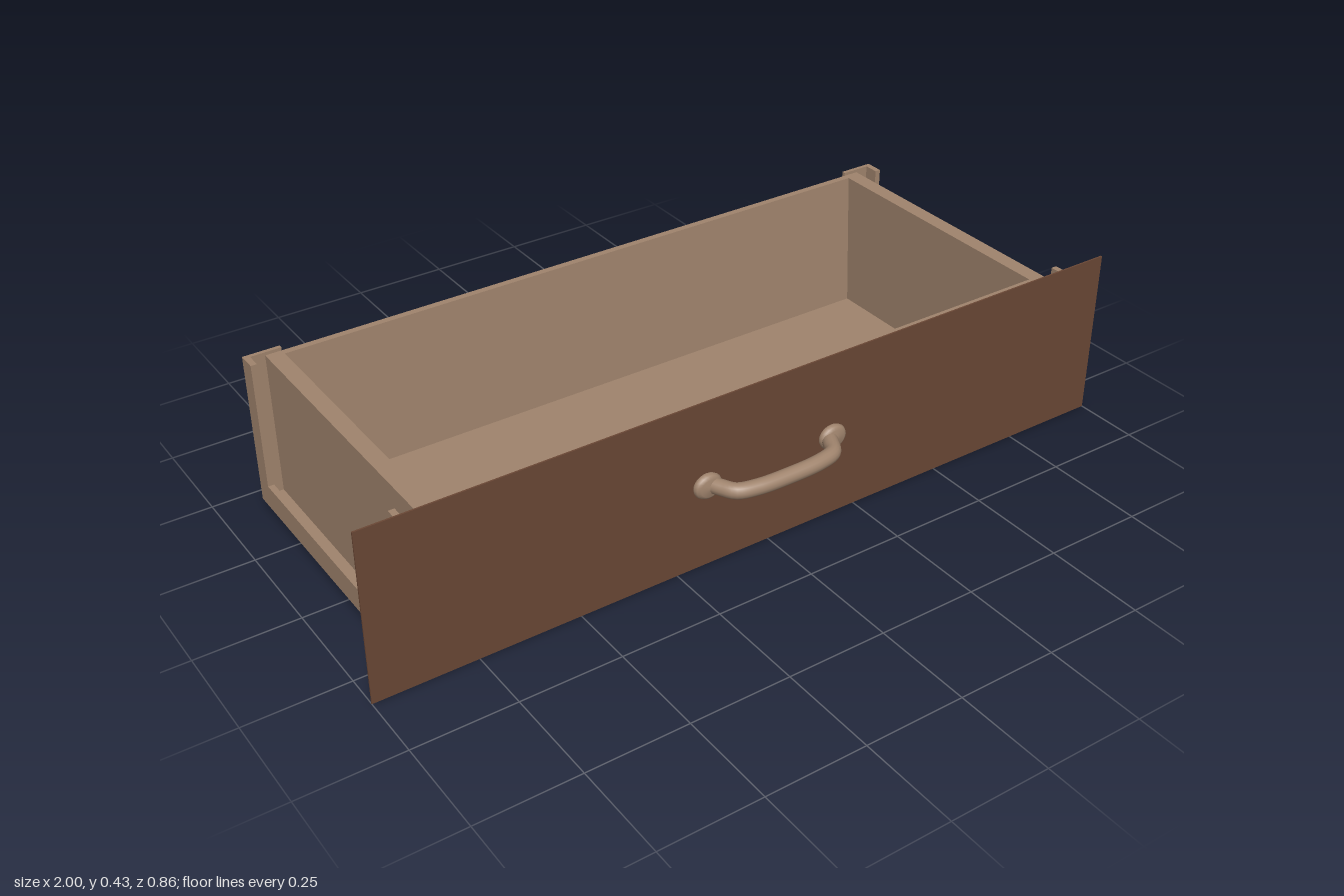
import * as THREE from 'three';

export function createModel() {
  const group = new THREE.Group();
  const wood = new THREE.MeshStandardMaterial({ color: 0xa0846d });
  wood.name = 'light wood';
  const facadeWood = new THREE.MeshStandardMaterial({ color: 0x6a4735 });
  facadeWood.name = 'dark wood';

  const add = (name, geometry, material = wood) => {
    const mesh = new THREE.Mesh(geometry, material);
    mesh.name = name;
    group.add(mesh);
    return mesh;
  };
  // Box given by its two extreme corners
  const box = (name, x0, x1, y0, y1, z0, z1, material) => {
    const mesh = add(name, new THREE.BoxGeometry(x1 - x0, y1 - y0, z1 - z0), material);
    mesh.position.set((x0 + x1) / 2, (y0 + y1) / 2, (z0 + z1) / 2);
    return mesh;
  };

  // Front facade
  box('facade', -1, 1, 0, 0.43, 0.333, 0.337, facadeWood);

  // Outer frame: U-shaped plates with a tall post at each end
  const framePlate = (name, a0, a1, post, depth) => {
    const bottom = 0.025, rail = 0.086, top = 0.41;
    const s = new THREE.Shape([
      [a0, bottom], [a1, bottom], [a1, top], [a1 - post, top],
      [a1 - post, rail], [a0 + post, rail], [a0 + post, top], [a0, top],
    ].map(([x, y]) => new THREE.Vector2(x, y)));
    return add(name, new THREE.ExtrudeGeometry(s, { depth, bevelEnabled: false }));
  };
  framePlate('backFrame', -0.9, 0.9, 0.09, 0.01).position.z = -0.43;
  framePlate('frontFrame', -0.9, 0.9, 0.09, 0.013).position.z = 0.32;
  for (const side of [-1, 1]) {
    const plate = framePlate('sideFrame', -0.333, 0.43, 0.048, 0.015);
    plate.rotation.y = Math.PI / 2; // local x becomes -z
    plate.position.x = side > 0 ? 0.885 : -0.9;
  }

  // Bottom frame around the recessed base panel
  const rim = new THREE.Shape([[-0.9, -0.333], [0.9, -0.333], [0.9, 0.43], [-0.9, 0.43]]
    .map(([x, y]) => new THREE.Vector2(x, y)));
  rim.holes.push(new THREE.Path([[-0.815, -0.285], [-0.815, 0.385], [0.815, 0.385], [0.815, -0.285]]
    .map(([x, y]) => new THREE.Vector2(x, y))));
  const bottomFrame = add('bottomFrame', new THREE.ExtrudeGeometry(rim, { depth: 0.012, bevelEnabled: false }));
  bottomFrame.rotation.x = -Math.PI / 2;
  bottomFrame.position.y = 0.025;
  box('floor', -0.85, 0.85, 0.033, 0.045, -0.42, 0.298);

  // Inner tray: upright side walls, and end walls thickening toward the floor
  for (const s of [-1, 1]) {
    box('sideWall', s * 0.83 - 0.02, s * 0.83 + 0.02, 0.033, 0.402, -0.42, 0.298);
  }
  const endWall = (name, outer, innerTop, innerBottom) => {
    const wall = box(name, -0.815, 0.815, 0.033, 0.402, Math.min(outer, innerTop), Math.max(outer, innerTop));
    const p = wall.geometry.attributes.position;
    const inward = Math.sign(innerTop - outer);
    for (let i = 0; i < p.count; i++) {
      if (p.getY(i) < 0 && p.getZ(i) * inward > 0) p.setZ(i, p.getZ(i) + innerBottom - innerTop);
    }
    wall.geometry.computeVertexNormals();
  };
  endWall('backWall', -0.42, -0.403, -0.382);
  endWall('frontWall', 0.298, 0.287, 0.265);

  // Handle: bowed grip on two rounded mounts
  const y = 0.217;
  const path = new THREE.CatmullRomCurve3([
    [-0.165, 0.337], [-0.152, 0.365], [-0.133, 0.394], [-0.085, 0.408], [0, 0.412],
    [0.085, 0.408], [0.133, 0.394], [0.152, 0.365], [0.165, 0.337],
  ].map(([x, z]) => new THREE.Vector3(x, y, z)));
  add('handleGrip', new THREE.TubeGeometry(path, 48, 0.019, 16));
  const mountProfile = [[0.03, 0], [0.032, 0.006], [0.029, 0.013], [0.022, 0.018], [0, 0.021]]
    .map(([r, h]) => new THREE.Vector2(r, h));
  for (const s of [-1, 1]) {
    const mount = add('handleMount', new THREE.LatheGeometry(mountProfile, 24));
    mount.rotation.x = Math.PI / 2;
    mount.scale.x = 1.15;
    mount.position.set(s * 0.173, y, 0.337);
  }
  return group;
}
